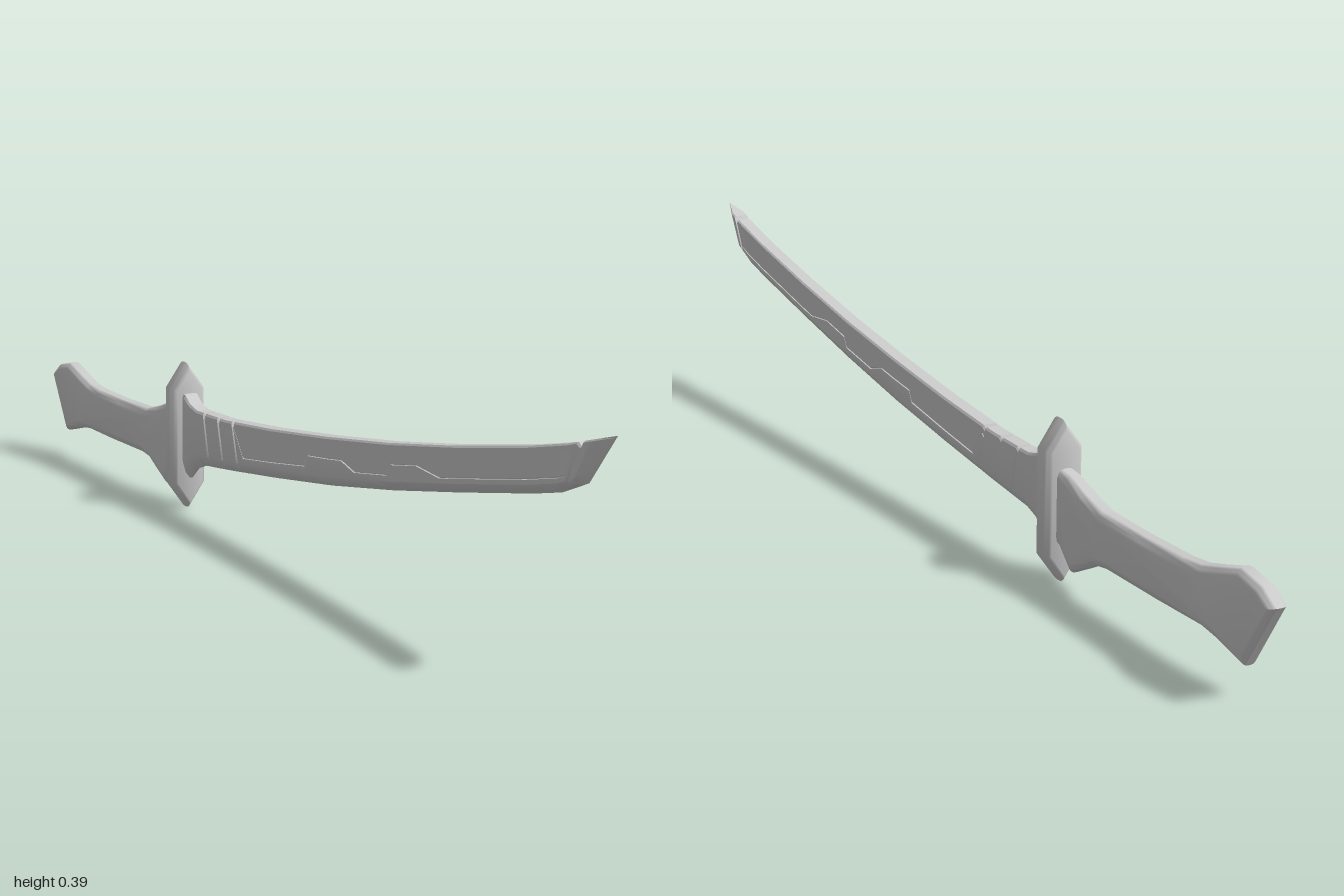
import * as THREE from 'three';
import { toCreasedNormals } from 'three/addons/utils/BufferGeometryUtils.js';

const material = new THREE.MeshStandardMaterial({ color: 0xcccccc, side: THREE.DoubleSide });

// Piecewise linear lookup in a list of [position, value] pairs
function lookup(table, t) {
  if (t <= table[0][0]) return table[0][1];
  for (let i = 1; i < table.length; i++) {
    const [t0, v0] = table[i - 1], [t1, v1] = table[i];
    if (t <= t1) return v0 + (v1 - v0) * (t - t0) / (t1 - t0);
  }
  return table[table.length - 1][1];
}

function addMesh(group, name, geometry, crease) {
  const mesh = new THREE.Mesh(toCreasedNormals(geometry, crease), material);
  mesh.name = name;
  group.add(mesh);
}

// Blade outline along z: spine, cutting edge, lean of the cross-sections, half width
const spine = [[-0.38, 0.235], [-0.35, 0.23], [-0.33, 0.215], [-0.3, 0.207], [-0.18, 0.209], [0, 0.224], [0.2, 0.246],
  [0.4, 0.272], [0.6, 0.304], [0.8, 0.341], [0.9, 0.363], [1, 0.391]];
const edge = [[-0.38, 0.055], [-0.35, 0.064], [-0.32, 0.088], [-0.287, 0.1], [-0.18, 0.111], [0, 0.132], [0.2, 0.158],
  [0.4, 0.19], [0.6, 0.227], [0.8, 0.266], [0.87, 0.282], [0.936, 0.309]];
const lean = [[-0.38, 0], [-0.3, -0.02], [-0.1, -0.025], [0.1, 0], [0.84, 0], [0.936, 0.064]];
const halfWidth = [[-0.38, 0.018], [-0.31, 0.0155], [0.91, 0.015], [0.936, 0]];
// Height of the engraved line, as a fraction of the blade height
const line = [[-0.12, 0.85], [-0.1, 0.32], [0.125, 0.36], [0.135, 0.58], [0.25, 0.56], [0.295, 0.34], [0.4, 0.34],
  [0.41, 0.56], [0.49, 0.56], [0.56, 0.32], [0.88, 0.32]];
const notches = [-0.245, -0.185, -0.125, 0.895];

function bladeGeometry() {
  const stations = [];
  for (let i = 0; i <= 64; i++) stations.push(-0.38 + (1.316 * i) / 64);
  for (const table of [edge, halfWidth, line]) for (const [z] of table) stations.push(z);
  for (const n of notches) stations.push(n - 0.005, n - 0.002, n, n + 0.002, n + 0.005);
  const zs = [...new Set(stations.map(z => +z.toFixed(4)))].sort((a, b) => a - b);

  const positions = [], index = [];
  zs.forEach(z => {
    const cut = notches.some(n => Math.abs(z - n) < 0.003) ? 1 : 0;
    const zTop = z + lookup(lean, z);
    const y0 = lookup(edge, z), y1 = lookup(spine, zTop) - 0.007 * cut;
    const w = lookup(halfWidth, z) * (1 - 0.15 * cut);
    const g = lookup(line, z);
    const engraved = z > -0.125 && z < 0.885 ? 0.85 : 1;
    // One side of the section: [half width, height fraction], spine to edge
    const side = [[0.8 * w, 1], [w, 0.96], [w, g + 0.016], [w * engraved, g + 0.008],
      [w * engraved, g - 0.008], [w, g - 0.016], [w, 0.2], [0.62 * w, 0.07], [0.1 * w, 0]];
    const ring = [...side, ...side.map(([x, v]) => [-x, v]).reverse()];
    for (const [x, v] of ring) positions.push(x, y0 + (y1 - y0) * v, z + (zTop - z) * v);
  });
  const n = 18;
  for (let i = 0; i < zs.length - 1; i++) {
    for (let j = 0; j < n; j++) {
      const k = (j + 1) % n, a = i * n + j, b = i * n + k;
      index.push(a, a + n, b, b, a + n, b + n);
    }
  }
  const geometry = new THREE.BufferGeometry();
  geometry.setAttribute('position', new THREE.Float32BufferAttribute(positions, 3));
  geometry.setIndex(index);
  return geometry;
}

// Bevelled slab of a closed outline, centred on its thickness
function slab(points, thickness, bevelSize, bevelThickness) {
  const shape = new THREE.Shape(points.map(([x, y]) => new THREE.Vector2(x, y)));
  const depth = thickness - 2 * bevelThickness;
  return new THREE.ExtrudeGeometry(shape, {
    depth, bevelSize, bevelThickness, bevelSegments: 5, bevelOffset: -bevelSize,
  }).translate(0, 0, -depth / 2);
}

export function createModel() {
  const sword = new THREE.Group();
  sword.name = 'sword';

  addMesh(sword, 'blade', bladeGeometry(), 0.5);

  // Hexagonal guard with rounded rims
  const guard = slab([[0, 0], [0.036, 0.05], [0.036, 0.24], [0, 0.29], [-0.036, 0.24], [-0.036, 0.05]],
    0.047, 0.014, 0.019);
  addMesh(sword, 'guard', guard.translate(0, 0, -0.379), 0.9);

  // Waisted handle with a finger spur and a slanted pommel, outlined in z and y
  const handle = slab([[-0.37, 0.078], [-0.405, 0.07], [-0.44, 0.035], [-0.49, 0.06], [-0.515, 0.073], [-0.55, 0.078],
    [-0.7, 0.078], [-0.82, 0.08], [-0.86, 0.074], [-0.93, 0.057], [-1, 0.174], [-0.965, 0.198],
    [-0.912, 0.209], [-0.85, 0.19], [-0.81, 0.179], [-0.76, 0.174], [-0.65, 0.172], [-0.53, 0.174],
    [-0.475, 0.188], [-0.43, 0.204], [-0.37, 0.212]].reverse(), 0.037, 0.017, 0.0155);
  addMesh(sword, 'handle', handle.rotateY(-Math.PI / 2), 0.7);

  return sword;
}
